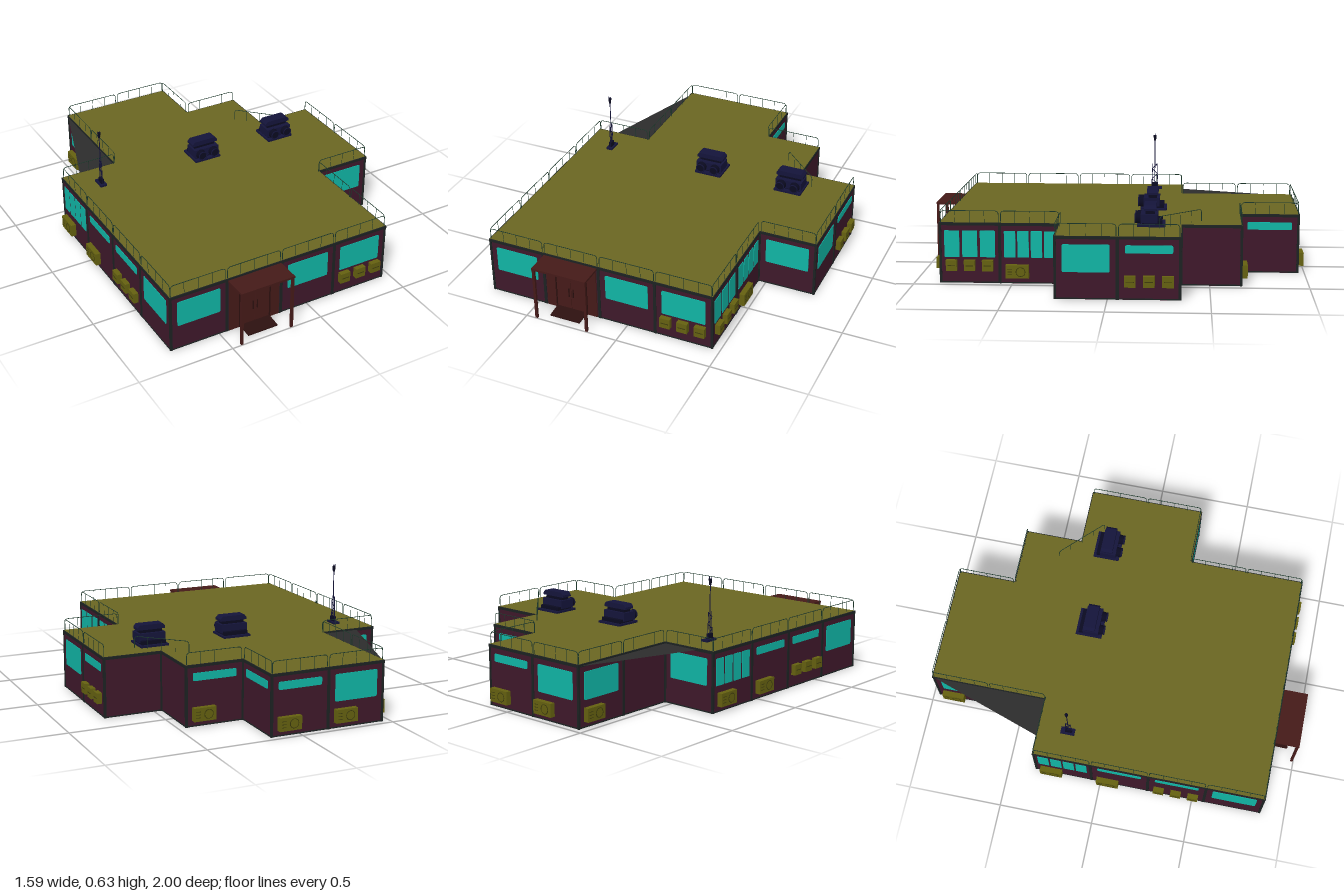
import * as THREE from 'three';

const mat = (color, side = THREE.FrontSide) => new THREE.MeshStandardMaterial({ color, side });
const M = {
  wall: mat(0x3e182a), roof: mat(0x6a6522), dark: mat(0x2c2c2c, THREE.DoubleSide), trim: mat(0x1c2222),
  rail: mat(0x1d3a2c), glass: mat(0x10b4a4), olive: mat(0x646010), grille: mat(0x3c3a0c),
  door: mat(0x451a18), doorDark: mat(0x2c100f), navy: mat(0x14143a), navyDark: mat(0x0a0a20),
};
const S = 0.306, H = 0.31;               // panel width and wall height
const X = i => -0.765 + S * i, Z = k => 0.869 - S * k;

function add(parent, name, geo, material, x = 0, y = 0, z = 0) {
  const m = new THREE.Mesh(geo, material);
  m.name = name;
  m.position.set(x, y, z);
  parent.add(m);
  return m;
}
const box = (p, name, m, w, h, d, x, y, z) => add(p, name, new THREE.BoxGeometry(w, h, d), m, x, y, z);

// thin rod between two points
function rod(parent, name, m, a, b, r = 0.002) {
  const va = new THREE.Vector3(...a), vb = new THREE.Vector3(...b);
  return add(parent, name, new THREE.TubeGeometry(new THREE.LineCurve3(va, vb), 1, r, 5), m);
}

function pane(parent, w, h, x, y, r = 0.008) {
  const s = new THREE.Shape(), a = w / 2, b = h / 2;
  s.moveTo(-a + r, -b).lineTo(a - r, -b).quadraticCurveTo(a, -b, a, -b + r);
  s.lineTo(a, b - r).quadraticCurveTo(a, b, a - r, b);
  s.lineTo(-a + r, b).quadraticCurveTo(-a, b, -a, b - r);
  s.lineTo(-a, -b + r).quadraticCurveTo(-a, -b, -a + r, -b);
  add(parent, 'windowPane', new THREE.ExtrudeGeometry(s, { depth: 0.003, bevelEnabled: false, curveSegments: 4 }), M.glass, x, y, 0);
}

const windows = {
  large: g => pane(g, 0.232, 0.137, 0, 0.203),
  high: g => pane(g, 0.232, 0.04, 0, 0.25),
  three: g => [-1, 0, 1].forEach(i => pane(g, 0.077, 0.137, i * 0.091, 0.203, 0.004)),
  four: g => [-1.5, -0.5, 0.5, 1.5].forEach(i => pane(g, 0.058, 0.137, i * 0.068, 0.203, 0.004)),
};

const extras = {
  // row of three small wall boxes
  boxes: g => [-1, 0, 1].forEach(i => {
    box(g, 'ventBox', M.olive, 0.056, 0.055, 0.026, i * 0.092, 0.094, 0.013);
    box(g, 'ventGrille', M.grille, 0.04, 0.004, 0.002, i * 0.092, 0.094, 0.027);
  }),
  // one larger cooling unit with a fan ring
  cooler: g => {
    box(g, 'cooler', M.olive, 0.118, 0.068, 0.028, -0.063, 0.066, 0.017);
    add(g, 'coolerFan', new THREE.TorusGeometry(0.023, 0.002, 5, 18), M.grille, -0.045, 0.066, 0.031);
    [-1, 0, 1].forEach(i => box(g, 'coolerSlat', M.grille, 0.024, 0.003, 0.002, -0.1, 0.066 + i * 0.015, 0.031));
  },
};

// roof-edge railing with rounded upper corners
function railing(parent) {
  const a = S / 2 - 0.006, y0 = H, y1 = 0.373, r = 0.018, v = (x, y) => new THREE.Vector3(x, y, -0.004);
  const path = new THREE.CurvePath();
  path.add(new THREE.LineCurve3(v(-a, y0), v(-a, y1 - r)));
  path.add(new THREE.QuadraticBezierCurve3(v(-a, y1 - r), v(-a, y1), v(-a + r, y1)));
  path.add(new THREE.LineCurve3(v(-a + r, y1), v(a - r, y1)));
  path.add(new THREE.QuadraticBezierCurve3(v(a - r, y1), v(a, y1), v(a, y1 - r)));
  path.add(new THREE.LineCurve3(v(a, y1 - r), v(a, y0)));
  add(parent, 'railing', new THREE.TubeGeometry(path, 50, 0.0018, 5), M.rail);
  [-0.075, 0, 0.075].forEach(x => rod(parent, 'railingPost', M.rail, [x, y0, -0.004], [x, y1, -0.004], 0.0012));
}

// entrance: door leaves, canopy on two posts and a step
function entrance(g) {
  box(g, 'doorPanel', M.door, 0.28, 0.285, 0.006, 0, 0.145, 0.002);
  [-1, 1].forEach(s => {
    box(g, 'doorLeaf', M.door, 0.078, 0.235, 0.006, s * 0.041, 0.125, 0.006);
    box(g, 'doorFrame', M.doorDark, 0.006, 0.25, 0.008, s * 0.085, 0.13, 0.006);
    box(g, 'doorHandle', M.doorDark, 0.004, 0.05, 0.006, s * 0.012, 0.115, 0.012);
    box(g, 'canopyPost', M.door, 0.013, 0.295, 0.013, s * 0.14, 0.1475, 0.122);
  });
  box(g, 'doorLintel', M.doorDark, 0.176, 0.006, 0.008, 0, 0.255, 0.006);
  box(g, 'canopy', M.door, 0.296, 0.011, 0.131, 0, 0.297, 0.065);
  box(g, 'doorStep', M.doorDark, 0.165, 0.007, 0.085, 0, 0.01, 0.046).rotation.x = 0.09;
}

function wallPanel(root, [x, z, turn, win, extra, plainTop]) {
  const g = new THREE.Group();
  g.name = 'wallPanel';
  g.position.set(x, 0, z);
  g.rotation.y = turn * Math.PI / 2;
  box(g, 'wall', M.wall, S, H, 0.01, 0, H / 2, -0.005);
  box(g, 'baseTrim', M.trim, S, 0.006, 0.012, 0, 0.004, -0.004);
  box(g, 'roofEdge', M.trim, S + 0.008, 0.014, 0.014, 0, H - 0.005, -0.003);
  [-1, 1].forEach(s => box(g, 'wallPost', M.trim, 0.009, H, 0.013, s * (S / 2 - 0.003), H / 2, -0.003));
  if (windows[win]) windows[win](g);
  if (win === 'door') entrance(g);
  if (extra) extras[extra](g);
  if (!plainTop) railing(g);
  root.add(g);
}

function roofUnit(root, x) {
  const g = new THREE.Group();
  g.name = 'roofUnit';
  g.position.set(x, H, -0.2);
  box(g, 'unitBase', M.navy, 0.15, 0.012, 0.14, 0, 0.008, -0.005);
  box(g, 'unitPlinth', M.navyDark, 0.13, 0.025, 0.1, 0, 0.02, -0.01);
  box(g, 'unitBody', M.navy, 0.145, 0.045, 0.085, 0, 0.045, 0.005);
  [-1, 1].forEach(s => {
    const fan = add(g, 'unitFan', new THREE.CylinderGeometry(0.024, 0.027, 0.028, 16), M.navyDark, s * 0.038, 0.042, 0.06);
    fan.rotation.x = Math.PI / 2;
    add(g, 'fanRing', new THREE.TorusGeometry(0.023, 0.003, 6, 16), M.navy, s * 0.038, 0.042, 0.075);
  });
  box(g, 'unitNeck', M.navyDark, 0.12, 0.022, 0.045, 0, 0.077, 0);
  const cap = new THREE.Shape([[-0.075, 0], [0.075, 0], [0.075, 0.012], [0.062, 0.026], [-0.062, 0.026], [-0.075, 0.012]]
    .map(p => new THREE.Vector2(...p)));
  add(g, 'unitCap', new THREE.ExtrudeGeometry(cap, { depth: 0.06, bevelEnabled: false }), M.navy, 0, 0.084, -0.03);
  root.add(g);
}

function antenna(root) {
  const g = new THREE.Group();
  g.name = 'antenna';
  g.position.set(-0.612, H, -0.195);
  box(g, 'antennaBase', M.navy, 0.036, 0.012, 0.074, 0, 0.008, -0.005);
  box(g, 'antennaFoot', M.navyDark, 0.016, 0.03, 0.034, 0, 0.025, 0);
  // slim lattice mast
  [-1, 1].forEach(s => rod(g, 'mastLeg', M.navy, [0, 0.01, s * 0.018], [0, 0.15, s * 0.012]));
  [0, 1, 2, 3].forEach(i => {
    const s = i % 2 ? 1 : -1;
    rod(g, 'mastBrace', M.navy, [0, 0.03 + i * 0.03, s * 0.017], [0, 0.06 + i * 0.03, -s * 0.015]);
  });
  rod(g, 'mast', M.navy, [0, 0.02, 0], [0, 0.3, 0], 0.0025);
  add(g, 'antennaHead', new THREE.CylinderGeometry(0.009, 0.006, 0.03, 8), M.navyDark, 0, 0.3, 0);
  [-1, 1].forEach(s => rod(g, 'antennaTip', M.navy, [s * 0.006, 0.29, 0], [s * 0.006, 0.325, 0], 0.0015));
  root.add(g);
}

export function createModel() {
  const root = new THREE.Group();
  root.name = 'building';
  const px = i => X(i + 0.5), pz = k => Z(k + 0.5);

  // centre x, centre z, quarter turns, window, fitting, no railing
  [
    [px(0), Z(0), 0, 'large'], [px(1), Z(0), 0, 'door'], [px(2), Z(0), 0, 'large'], [px(3), Z(0), 0, 'large', 'boxes'],
    [X(4), pz(0), 1, 'three', 'boxes'], [X(4), pz(1), 1, 'four', 'cooler'],
    [px(4), Z(2), 0, 'large'],
    [X(5), pz(2), 1, 'large'], [X(5), pz(3), 1, 'high', 'boxes'],
    [px(4), Z(4), 2, '', '', true], [X(4), pz(4), 1, '', '', true],
    [px(3), Z(5), 2, 'high', 'cooler'], [X(3), pz(5), 1, 'high'],
    [px(2), Z(6), 2, 'high', 'cooler'], [px(1), Z(6), 2, 'large', 'cooler'],
    [X(1), pz(5), -1, 'large', 'cooler'], [X(1), pz(4), -1, ''],
    [px(0), Z(4), 2, 'large'],
    [X(0), pz(3), -1, 'four', 'cooler'], [X(0), pz(2), -1, 'high', 'cooler'],
    [X(0), pz(1), -1, 'high', 'boxes'], [X(0), pz(0), -1, 'large'],
  ].forEach(p => wallPanel(root, p));

  // diagonal railing across the inner corner
  const corner = new THREE.Group();
  corner.name = 'cornerRailing';
  corner.position.set(X(4), 0, Z(4));
  corner.rotation.y = Math.PI * 0.75;
  railing(corner);
  root.add(corner);

  // stepped roof, with a dark ceiling that spans part of the notch
  const steps = [[0, 0], [4, 0], [4, 2], [5, 2], [5, 4], [4, 4], [4, 5], [3, 5], [3, 6], [1, 6]];
  const slab = (name, extra, y, m) => {
    const pts = [...steps.map(([i, k]) => [X(i), Z(k)]), ...extra, [X(0), Z(4)]];
    const shape = new THREE.Shape(pts.map(([x, z]) => new THREE.Vector2(x, -z)));
    const s = add(root, name, new THREE.ShapeGeometry(shape), m, 0, y, 0);
    s.rotation.x = -Math.PI / 2;
  };
  slab('roof', [[X(1), Z(4)]], H + 0.003, M.roof);
  slab('ceiling', [[-0.665, Z(4)]], H - 0.006, M.dark);

  roofUnit(root, 0);
  roofUnit(root, 0.46);
  antenna(root);
  return root;
}
